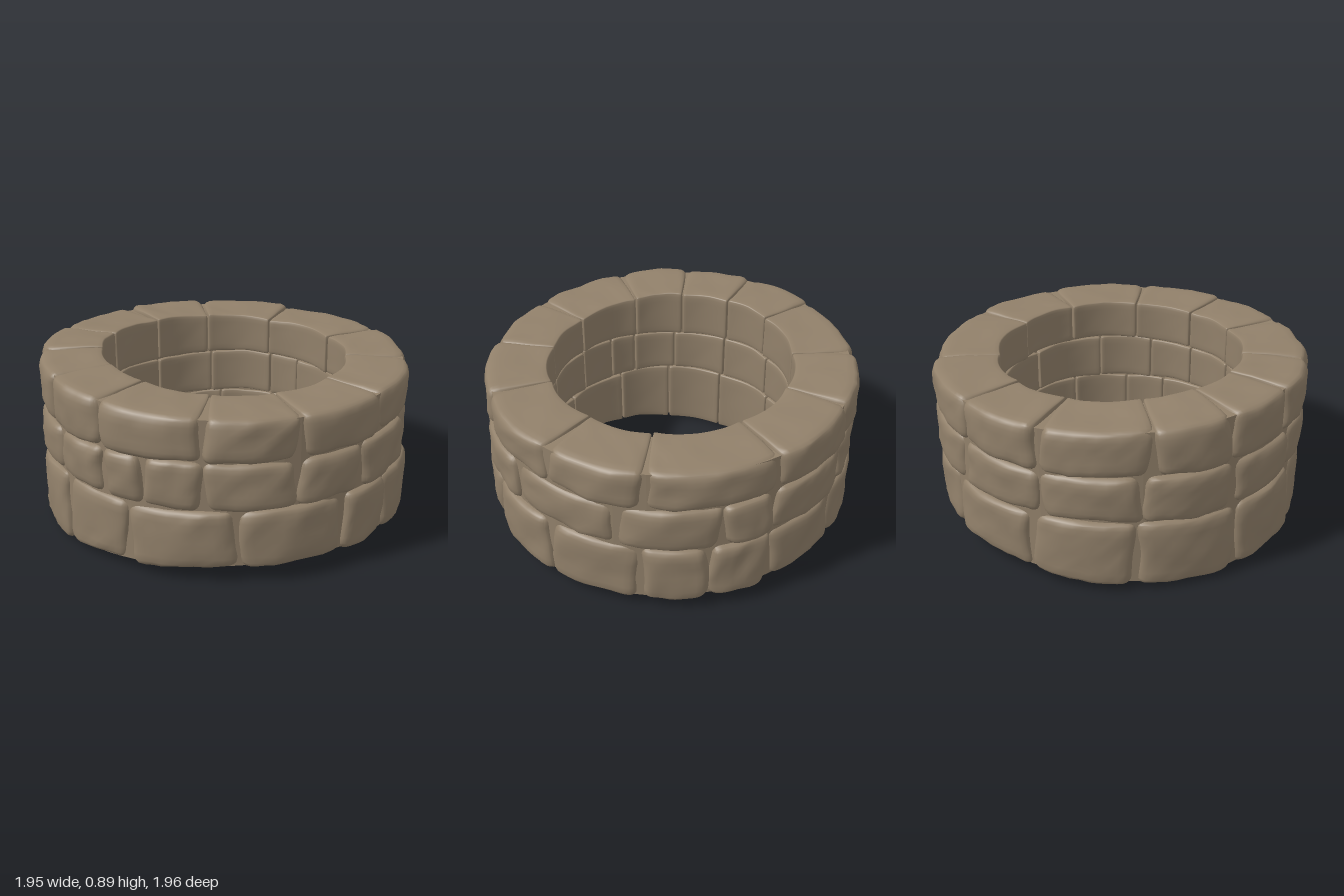
import * as THREE from 'three';
import { mergeVertices } from 'three/addons/utils/BufferGeometryUtils.js';

const INNER = 0.645;
const MID_R = 0.9; // radius at which stone widths are measured

// Small seeded random generator
let seed = 7;
const rand = () => {
  seed = (seed * 16807) % 2147483647;
  return seed / 2147483647;
};

// The ring sags at the sides and is slightly taller at its right
const bottomY = a => 0.058 + 0.0175 * Math.cos(a) - 0.026 * Math.cos(2 * a);
const topY = a => 0.864 - 0.02 * Math.cos(a) + 0.0075 * Math.cos(2 * a);
const seam1 = a => 0.387 + 0.006 * Math.sin(5 * a + 1);
const seam2 = a => 0.632 + 0.006 * Math.sin(4 * a);

// Courses: joint angles in degrees, measured from +x towards +z
const courses = [
  { name: 'bottomCourse', low: bottomY, high: seam1,
    joints: [12, 40, 60, 93, 126, 152, 180, 212, 243, 275, 303, 322, 342] },
  { name: 'middleCourse', low: seam1, high: seam2,
    joints: [26, 53, 76, 103, 121, 134, 155, 182, 210, 240, 270, 302, 318, 349] },
  { name: 'topCourse', low: seam2, high: topY,
    joints: [11, 45, 75, 103, 135, 159, 183, 207, 240, 268, 301, 341] },
];

// Uneven hewn surface
function bumps(x, y, z, s) {
  const u = x + 0.04 * Math.sin(17 * y + s), v = z + 0.04 * Math.sin(15 * x + 9 * y);
  const broad = Math.sin(9 * u + s) * Math.sin(11 * v + 8 * y + 2 * s);
  const ridge = 0.5 - Math.abs(Math.sin(14 * u - 10 * y + s) * Math.cos(13 * v + 12 * y));
  const fine = Math.sin(37 * u + 21 * y) * Math.sin(33 * v - 29 * y + s);
  return 0.007 * broad + 0.008 * ridge + 0.0025 * fine;
}

const clamp = THREE.MathUtils.clamp;

// One rounded wedge stone bent around the ring
function stoneGeometry(a0, a1, low, high) {
  const s = rand() * 20, outer = 0.968 + rand() * 0.014, lift = (rand() - 0.5) * 0.01;
  const tilt = (rand() - 0.5) * 0.03;
  const mid = (a0 + a1) / 2;
  const hx = (outer - INNER) / 2;
  const hy = (high(mid) - low(mid)) / 2;
  const hz = (a1 - a0) / 2 * MID_R - 0.003;
  const geo = new THREE.BoxGeometry(2, 2, 2, 10, 10, 16);
  geo.deleteAttribute('uv');
  geo.deleteAttribute('normal');
  const pos = geo.attributes.position;
  const crowd = t => Math.sin(t * Math.PI / 2); // denser rows near the edges
  for (let i = 0; i < pos.count; i++) {
    const p = new THREE.Vector3(crowd(pos.getX(i)) * hx, crowd(pos.getY(i)) * hy, crowd(pos.getZ(i)) * hz);
    const outward = (p.x / hx + 1) / 2;
    // worn outer edges, crisper inner ones
    const r = THREE.MathUtils.lerp(0.018, 0.05, outward * outward);
    const q = new THREE.Vector3(
      clamp(p.x, -hx + r, hx - r), clamp(p.y, -hy + r, hy - r), clamp(p.z, -hz + r, hz - r));
    const d = p.clone().sub(q);
    if (d.lengthSq() > 1e-12) p.copy(q).add(d.setLength(r));

    let angle = mid + p.z / MID_R;
    const t = (p.y / hy + 1) / 2;
    let y = THREE.MathUtils.lerp(low(angle), high(angle), t);
    angle += 0.014 * Math.sin(13 * y + 8 * mid) * outward;
    // nearly flat faces make the ring slightly faceted
    const facet = 0.35 * (1 - Math.cos(angle - mid));
    let rad = (INNER + outer) / 2 + p.x - facet + tilt * (p.z / hz) * 0.4 * outward;
    const n = bumps(rad * Math.cos(angle), y, rad * Math.sin(angle), s);
    rad += n * (0.15 + 0.85 * outward);
    y += n * 0.5 * (t - 0.5) * 2;
    if (high === topY) y += lift * t;
    pos.setXYZ(i, rad * Math.cos(angle), Math.max(0, y), rad * Math.sin(angle));
  }
  const merged = mergeVertices(geo, 1e-5);
  merged.computeVertexNormals();
  return merged;
}

// Recessed ring that fills the joints behind the stones
function coreGeometry() {
  const ro = 0.942, ri = INNER + 0.014;
  const profile = [[ri, 0], [ro, 0], [ro, 1], [ri, 1], [ri, 0]].map(p => new THREE.Vector2(...p));
  const geo = new THREE.LatheGeometry(profile, 72);
  const pos = geo.attributes.position;
  for (let i = 0; i < pos.count; i++) {
    const a = Math.atan2(pos.getZ(i), pos.getX(i));
    pos.setY(i, THREE.MathUtils.lerp(bottomY(a) + 0.015, topY(a) - 0.018, pos.getY(i)));
  }
  const flat = geo.toNonIndexed(); // keeps the four edges sharp
  flat.computeVertexNormals();
  return flat;
}

export function createModel() {
  seed = 7;
  const stone = new THREE.MeshStandardMaterial({ color: 0x91806a });
  stone.name = 'brownStone';
  const model = new THREE.Group();
  model.name = 'stoneRing';

  const core = new THREE.Mesh(coreGeometry(), stone);
  core.name = 'mortarCore';
  model.add(core);

  for (const { name, low, high, joints } of courses) {
    const course = new THREE.Group();
    course.name = name;
    joints.forEach((start, i) => {
      const end = i + 1 < joints.length ? joints[i + 1] : joints[0] + 360;
      const mesh = new THREE.Mesh(
        stoneGeometry(THREE.MathUtils.degToRad(start), THREE.MathUtils.degToRad(end), low, high), stone);
      mesh.name = 'stoneBlock';
      course.add(mesh);
    });
    model.add(course);
  }
  return model;
}
